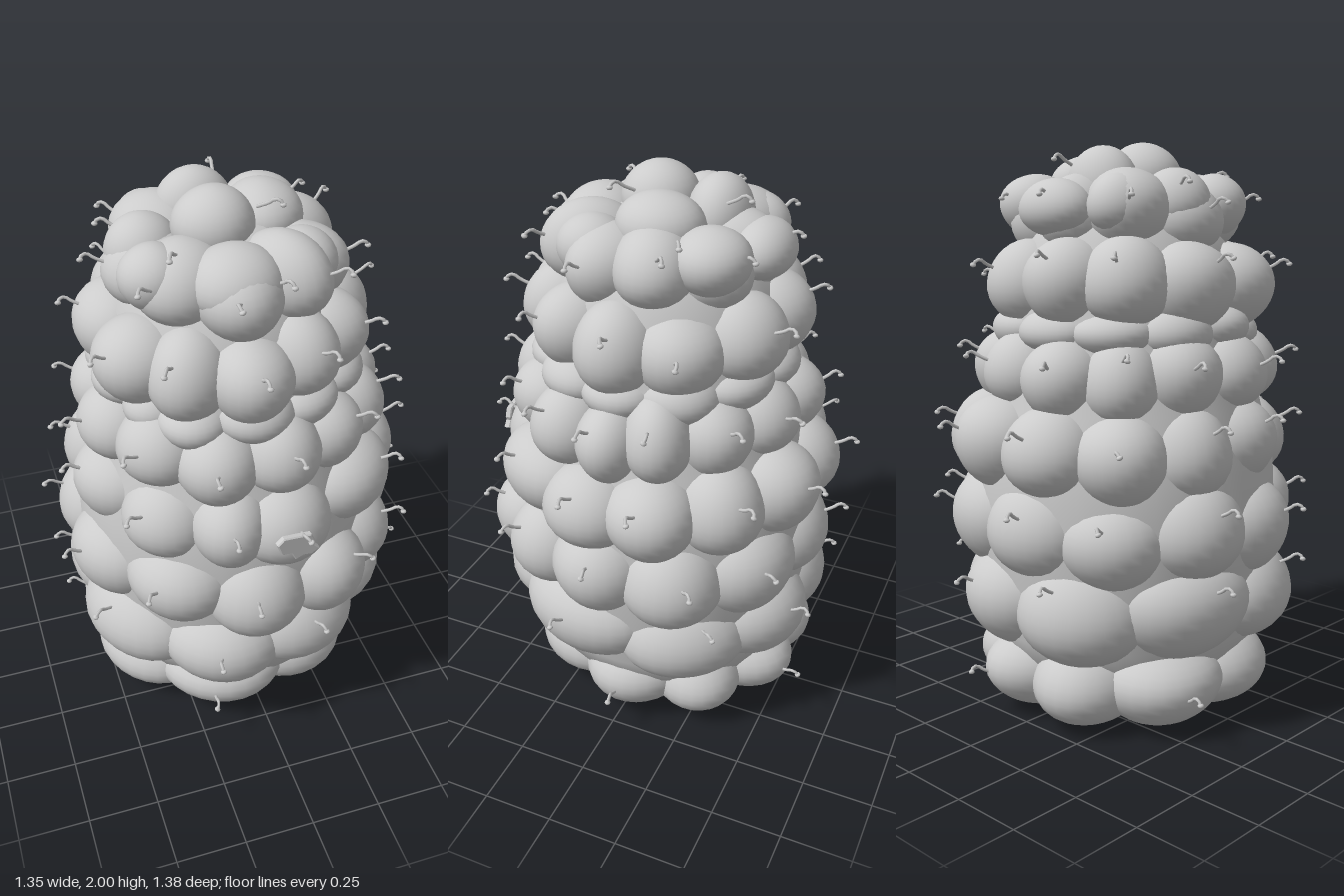
import * as THREE from 'three';
import { mergeVertices } from 'three/addons/utils/BufferGeometryUtils.js';

const mat = new THREE.MeshStandardMaterial({ color: 0xcccccc });
const thin = new THREE.MeshStandardMaterial({ color: 0xcccccc, side: THREE.DoubleSide });
const rad = THREE.MathUtils.degToRad;

// Seeded random numbers for small irregularities
let seed = 11;
const rand = (a, b) => {
  seed = (seed * 16807) % 2147483647;
  return a + (b - a) * seed / 2147483647;
};

// Unit sphere, slightly lumpy, with a seamless smooth surface
function lumpySphere(phase) {
  const s = new THREE.SphereGeometry(1, 26, 18);
  s.deleteAttribute('uv');
  s.deleteAttribute('normal');
  const g = mergeVertices(s, 1e-4);
  const p = g.attributes.position;
  const v = new THREE.Vector3();
  for (let i = 0; i < p.count; i++) {
    v.fromBufferAttribute(p, i);
    const k = 1 + 0.025 * Math.sin(2.6 * v.x + phase) + 0.025 * Math.sin(3.1 * v.y + 2 * phase);
    p.setXYZ(i, v.x * k, v.y * k, v.z * k);
  }
  g.computeVertexNormals();
  return g;
}

// Each ring: height, outer radius, half height, depth, centre offset x and z, azimuths from +z towards +x
const rings = [
  { y: 0.16, R: 0.545, h: 0.15, d: 0.22, x: -0.035, z: -0.035, a: [-15, 40, 88, 125, 160, 200, 245, 295] },
  { y: 0.43, R: 0.61, h: 0.178, d: 0.2, x: -0.01, z: 0, a: [-19, 21, 72, 122, 160, 203, 250, 297] },
  { y: 0.69, R: 0.635, h: 0.175, d: 0.18, x: 0, z: 0, a: [-39, -5, 27, 54, 84, 116, 150, 185, 218, 252, 286] },
  { y: 0.96, R: 0.62, h: 0.16, d: 0.17, x: 0.015, z: -0.015, a: [-45, -18, 5, 46, 78, 106, 136, 165, 195, 224, 253, 284] },
  { y: 1.21, R: 0.555, h: 0.145, d: 0.15, x: 0, z: 0, a: [-50, -22, 7, 36, 64, 88, 110, 137, 165, 194, 222, 250, 280] },
  { y: 1.35, R: 0.485, h: 0.085, d: 0.12, x: -0.01, z: 0, a: [-33, -2, 28, 60, 88, 120, 152, 184, 216, 248, 280, 304] },
  { y: 1.51, R: 0.515, h: 0.15, d: 0.16, x: -0.02, z: 0, a: [-64, -34, -2, 27, 55, 87, 120, 155, 188, 222, 258] },
  { y: 1.74, R: 0.415, h: 0.14, d: 0.17, x: -0.01, z: 0, a: [-50, -8, 32, 68, 105, 145, 185, 225, 268] }
];

// Crown and underside drupelets: x, y, z, half sizes
const crown = [
  [-0.06, 1.87, 0.04, 0.135, 0.13, 0.13], [-0.06, 1.85, -0.17, 0.14, 0.125, 0.11],
  [0.14, 1.84, -0.04, 0.13, 0.12, 0.15], [-0.05, 1.78, 0.25, 0.15, 0.12, 0.15],
  [-0.29, 1.78, 0.15, 0.11, 0.11, 0.11], [-0.27, 1.79, -0.04, 0.13, 0.11, 0.12],
  [0.2, 1.78, -0.24, 0.13, 0.11, 0.13], [-0.01, 1.77, -0.34, 0.14, 0.1, 0.11],
  [0.19, 1.77, 0.17, 0.12, 0.11, 0.12], [-0.21, 1.78, -0.24, 0.11, 0.1, 0.12]
];
const underside = [
  [-0.03, 0.16, -0.03, 0.16, 0.13, 0.16], [-0.2, 0.15, 0.08, 0.17, 0.14, 0.17],
  [0.12, 0.15, 0.14, 0.17, 0.14, 0.16], [0.14, 0.15, -0.16, 0.17, 0.14, 0.17],
  [-0.16, 0.15, -0.22, 0.17, 0.14, 0.16]
];

export function createModel() {
  const model = new THREE.Group();
  model.name = 'berry';
  const drupelets = new THREE.Group();
  drupelets.name = 'drupelets';
  const hairs = new THREE.Group();
  hairs.name = 'hairs';
  model.add(drupelets, hairs);
  const spheres = [0.4, 1.7, 3.2, 4.6].map(lumpySphere);

  // Hooked hair with a flared tip, leaning outward along z
  const path = new THREE.CatmullRomCurve3([
    new THREE.Vector3(0, -0.01, -0.02), new THREE.Vector3(0, 0.012, 0.022),
    new THREE.Vector3(0, 0.027, 0.042), new THREE.Vector3(0.004, 0.026, 0.058),
    new THREE.Vector3(0.006, 0.012, 0.068)
  ]);
  const stalkGeo = new THREE.TubeGeometry(path, 8, 0.006, 6);
  const tipGeo = new THREE.SphereGeometry(0.011, 8, 6);

  function addHair(pos, yaw, roll) {
    const hair = new THREE.Group();
    hair.name = 'hair';
    const stalk = new THREE.Mesh(stalkGeo, mat);
    stalk.name = 'hairStalk';
    const tip = new THREE.Mesh(tipGeo, mat);
    tip.name = 'hairTip';
    tip.position.set(0.006, 0.011, 0.068);
    tip.scale.set(1, 0.7, 1);
    hair.add(stalk, tip);
    hair.position.copy(pos);
    hair.rotation.set(0, yaw, roll, 'YXZ');
    hairs.add(hair);
  }

  function addDrupelet(pos, size, yaw) {
    const ball = new THREE.Mesh(spheres[drupelets.children.length % 4], mat);
    ball.name = 'drupelet';
    ball.position.copy(pos);
    ball.scale.copy(size);
    ball.rotation.y = yaw;
    drupelets.add(ball);
  }

  // Rings of drupelets, each as wide as the gap to its neighbours
  rings.forEach((r, n) => {
    r.a.forEach((deg, i) => {
      const c = r.a.length;
      const prev = i ? r.a[i - 1] : r.a[c - 1] - 360;
      const next = i < c - 1 ? r.a[i + 1] : r.a[0] + 360;
      const a = rad(deg);
      const w = rad(next - prev) / 4 * (r.R - 0.4 * r.d) * 1.17;
      const size = new THREE.Vector3(w, r.h * rand(0.96, 1.04), r.d);
      const dist = r.R - r.d + rand(-0.015, 0.01);
      const y = r.y + (n ? rand(-0.022, 0.022) : 0);
      const pos = new THREE.Vector3(r.x + Math.sin(a) * dist, y, r.z + Math.cos(a) * dist);
      addDrupelet(pos, size, a);
      // Hair on the upper outer face
      if (n !== 5 && (n > 0 || i % 2 === 0)) {
        const t = n ? rand(0.25, 0.65) : 0;
        const s = rand(-0.25, 0.25);
        const local = new THREE.Vector3(Math.sin(s) * Math.cos(t), Math.sin(t), Math.cos(s) * Math.cos(t));
        local.multiply(size).applyAxisAngle(new THREE.Vector3(0, 1, 0), a).add(pos);
        addHair(local, a + s, rand(-0.5, 0.5));
      }
    });
  });

  // Crown and underside
  [...crown, ...underside].forEach(([x, y, z, w, h, d]) =>
    addDrupelet(new THREE.Vector3(x, y, z), new THREE.Vector3(w, h, d), 0));
  [[0.09, 1.94, 0.09, 0.8], [-0.22, 1.87, 0.2, -0.7], [0.27, 1.85, -0.16, 1.9], [0.03, 1.92, -0.24, 3],
    [-0.34, 1.84, -0.1, -2], [0.06, 1.8, 0.34, 0.3]].forEach(([x, y, z, yaw]) =>
    addHair(new THREE.Vector3(x, y, z), yaw, 0));

  // Core that fills the valleys between drupelets
  const profile = [[0, 0.06], [0.34, 0.07], [0.46, 0.2], [0.5, 0.3], [0.53, 0.5], [0.55, 0.7], [0.54, 0.9],
    [0.49, 1.1], [0.435, 1.3], [0.41, 1.45], [0.38, 1.62], [0.29, 1.78], [0.15, 1.87], [0, 1.89]]
    .map(([x, y]) => new THREE.Vector2(x, y));
  const core = new THREE.Mesh(new THREE.LatheGeometry(profile, 40), mat);
  core.name = 'core';
  core.position.set(-0.01, 0, -0.01);
  model.add(core);

  // Dried petal scrap stuck to the front
  const outline = [[-0.07, 0.03], [-0.05, 0.05], [0, 0.045], [0.045, 0.04], [0.06, 0.01], [0.055, -0.005],
    [0.075, -0.025], [0.05, -0.04], [0.02, -0.035], [-0.005, -0.045], [-0.02, -0.015], [-0.055, -0.01]];
  const scrap = new THREE.Mesh(new THREE.ExtrudeGeometry(
    new THREE.Shape(outline.map(([x, y]) => new THREE.Vector2(x, y))),
    { depth: 0.015, bevelEnabled: true, bevelSize: 0.004, bevelThickness: 0.004, bevelSegments: 1 }), thin);
  scrap.name = 'driedPetal';
  scrap.position.set(0.045, 0.97, 0.605);
  scrap.rotation.y = 0.08;
  model.add(scrap);
  return model;
}
